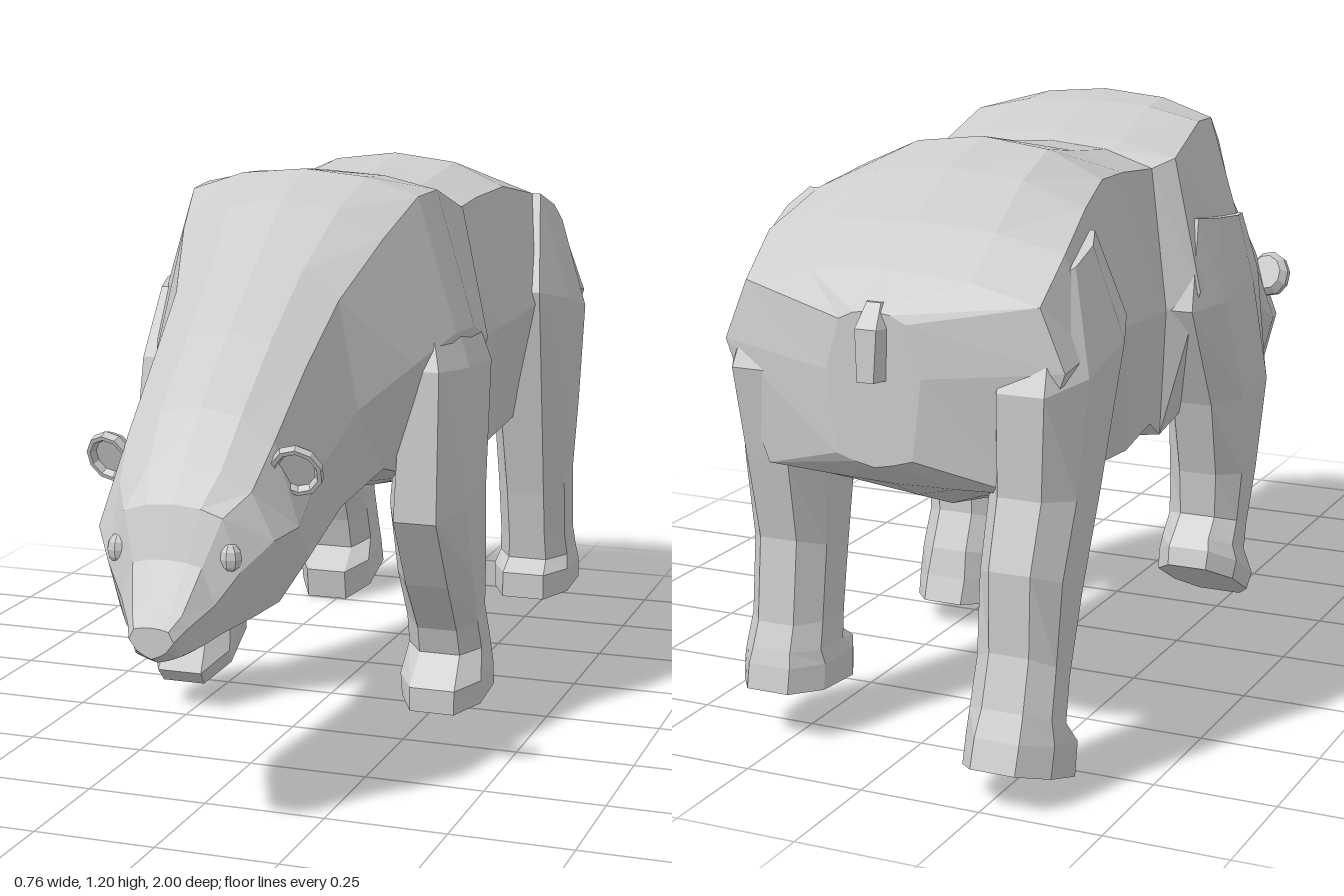
import * as THREE from 'three';

const grey = new THREE.MeshStandardMaterial({ color: 0xcccccc, flatShading: true });

// Closed loft through rings of equal length, with fan caps, always facing outwards
function loft(rings) {
  const n = rings[0].length, pos = rings.flat(2), tris = [];
  const centre = ring => [0, 1, 2].map(k => ring.reduce((s, p) => s + p[k], 0) / n);
  for (let r = 0; r < rings.length - 1; r++) {
    for (let i = 0; i < n; i++) {
      const a = r * n + i, b = r * n + (i + 1) % n;
      tris.push([a, b, b + n], [a, b + n, a + n]);
    }
  }
  const last = (rings.length - 1) * n, c = rings.length * n;
  pos.push(...centre(rings[0]), ...centre(rings.at(-1)));
  for (let i = 0; i < n; i++) {
    const j = (i + 1) % n;
    tris.push([c, j, i], [c + 1, last + i, last + j]);
  }
  const v = i => new THREE.Vector3().fromArray(pos, i * 3);
  const volume = tris.reduce((s, [a, b, d]) => s + v(a).dot(v(b).cross(v(d))), 0);
  const geo = new THREE.BufferGeometry();
  geo.setAttribute('position', new THREE.Float32BufferAttribute(pos, 3));
  geo.setIndex(tris.flatMap(([a, b, d]) => (volume < 0 ? [a, d, b] : [a, b, d])));
  geo.computeVertexNormals();
  return geo;
}

// Body section: spine height, back edge (w1, y1), flank (w2, y2), low side (w3, y3), belly
function bodyRing([z, top, w1, y1, w2, y2, w3, y3, belly]) {
  const half = [
    [w1 * 0.55, top - (top - y1) * 0.25], [w1, y1], [w2, y2], [w3, y3],
    [w3 * 0.5, belly + (y3 - belly) * 0.4],
  ];
  return [
    [0, top, z], ...half.map(([x, y]) => [x, y, z]),
    [0, belly, z], ...half.reverse().map(([x, y]) => [-x, y, z]),
  ];
}

// Leg section: front edge (z, y), back edge (z, y), centre x, half width
const octagon = [[1, -0.55], [1, 0.55], [0.4, 1], [-0.5, 1], [-1, 0.5], [-1, -0.5], [-0.5, -1], [0.4, -1]];
function legRing([fz, fy, bz, by, cx, hw]) {
  return octagon.map(([u, s]) => {
    const t = (1 - u) / 2;
    return [cx + s * hw, fy + (by - fy) * t, fz + (bz - fz) * t];
  });
}

// Body sections from nose to tail
const headSections = [
  [1.0, 0.43, 0.035, 0.425, 0.045, 0.405, 0.03, 0.385, 0.37],
  [0.97, 0.455, 0.05, 0.45, 0.06, 0.425, 0.045, 0.37, 0.355],
  [0.92, 0.54, 0.07, 0.53, 0.095, 0.46, 0.07, 0.38, 0.345],
  [0.89, 0.64, 0.1, 0.62, 0.135, 0.52, 0.1, 0.4, 0.35],
  [0.83, 0.71, 0.135, 0.66, 0.18, 0.57, 0.14, 0.42, 0.36],
  [0.75, 0.8, 0.15, 0.74, 0.2, 0.58, 0.16, 0.43, 0.38],
];
const chestSections = [
  [0.6, 0.925, 0.16, 0.86, 0.19, 0.66, 0.165, 0.48, 0.43],
  [0.45, 1.04, 0.175, 0.97, 0.215, 0.75, 0.18, 0.55, 0.5],
  [0.3, 1.15, 0.22, 1.08, 0.285, 0.82, 0.22, 0.6, 0.57],
  [0.17, 1.2, 0.25, 1.15, 0.335, 0.87, 0.25, 0.56, 0.52],
  [0.07, 1.19, 0.26, 1.155, 0.345, 0.87, 0.25, 0.54, 0.49],
  [-0.09, 1.14, 0.27, 1.1, 0.33, 0.82, 0.24, 0.5, 0.47],
  [-0.12, 1.125, 0.23, 1.08, 0.265, 0.78, 0.23, 0.53, 0.465],
];
const rumpSections = [
  [-0.3, 1.15, 0.24, 1.1, 0.29, 0.8, 0.25, 0.52, 0.445],
  [-0.45, 1.18, 0.26, 1.11, 0.315, 0.82, 0.25, 0.53, 0.43],
  [-0.6, 1.14, 0.29, 1.08, 0.345, 0.85, 0.26, 0.55, 0.46],
  [-0.75, 1.06, 0.315, 1.02, 0.37, 0.84, 0.29, 0.56, 0.52],
  [-0.85, 0.985, 0.31, 0.94, 0.36, 0.82, 0.27, 0.58, 0.57],
  [-0.92, 0.92, 0.07, 0.9, 0.1, 0.8, 0.08, 0.64, 0.62],
];

// Legs in a walking pose, from shoulder or hip to sole
const legs = {
  frontLegLeft: [
    [0.18, 0.98, -0.06, 0.98, 0.25, 0.04], [0.26, 0.8, -0.115, 0.78, 0.285, 0.073],
    [0.27, 0.48, -0.055, 0.54, 0.278, 0.085], [0.17, 0.32, -0.045, 0.36, 0.275, 0.085],
    [0.08, 0.2, -0.05, 0.25, 0.272, 0.08], [0.06, 0.14, -0.085, 0.17, 0.272, 0.083],
    [0.12, 0.075, -0.1, 0.11, 0.273, 0.092], [0.12, 0.022, -0.12, 0.055, 0.273, 0.09],
  ],
  frontLegRight: [
    [0.2, 0.94, -0.06, 0.97, -0.29, 0.045], [0.28, 0.8, -0.115, 0.78, -0.285, 0.073],
    [0.33, 0.57, 0.0, 0.55, -0.28, 0.088], [0.25, 0.36, 0.05, 0.38, -0.275, 0.085],
    [0.2, 0.23, 0.06, 0.28, -0.272, 0.08], [0.185, 0.17, 0.02, 0.24, -0.272, 0.083],
    [0.225, 0.09, 0.0, 0.22, -0.275, 0.092], [0.2, 0.06, -0.01, 0.18, -0.275, 0.088],
  ],
  hindLegLeft: [
    [-0.6, 1.08, -0.78, 0.98, 0.285, 0.045], [-0.5, 0.86, -0.875, 0.77, 0.285, 0.095],
    [-0.58, 0.52, -0.84, 0.57, 0.28, 0.09], [-0.62, 0.35, -0.81, 0.41, 0.28, 0.082],
    [-0.64, 0.24, -0.83, 0.24, 0.28, 0.08], [-0.65, 0.18, -0.85, 0.19, 0.28, 0.084],
    [-0.61, 0.15, -0.86, 0.16, 0.28, 0.092], [-0.61, 0.09, -0.87, 0.11, 0.28, 0.092],
  ],
  hindLegRight: [
    [-0.6, 1.04, -0.78, 0.98, -0.285, 0.045], [-0.51, 0.86, -0.885, 0.78, -0.285, 0.097],
    [-0.64, 0.55, -0.88, 0.58, -0.28, 0.09], [-0.72, 0.36, -0.925, 0.45, -0.28, 0.085],
    [-0.79, 0.2, -0.925, 0.29, -0.278, 0.082], [-0.81, 0.125, -0.955, 0.19, -0.278, 0.085],
    [-0.745, 0.075, -0.98, 0.14, -0.278, 0.092], [-0.755, 0.002, -1.0, 0.085, -0.278, 0.092],
  ],
};

export function createModel() {
  const model = new THREE.Group();
  model.name = 'bear';
  const add = (name, geo, x, y, z) => {
    const mesh = new THREE.Mesh(geo, grey);
    mesh.name = name;
    mesh.position.set(x, y, z);
    model.add(mesh);
    return mesh;
  };

  add('body', loft([...headSections, ...chestSections, ...rumpSections].map(bodyRing)), 0, 0, 0);
  for (const [name, sections] of Object.entries(legs)) add(name, loft(sections.map(legRing)), 0, 0, 0);

  // Shallow cupped ears, half sunk into the head, and eyes
  const earProfile = [[0, -0.018], [0.038, -0.018], [0.05, 0], [0.048, 0.016], [0.04, 0.016], [0.034, 0.004], [0, 0.004]]
    .map(([x, y]) => new THREE.Vector2(x, y));
  const earGeo = new THREE.LatheGeometry(earProfile, 10).rotateX(Math.PI / 2);
  const eyeGeo = new THREE.SphereGeometry(0.027, 8, 6);
  for (const [label, side] of [['Left', 1], ['Right', -1]]) {
    const ear = add('ear' + label, earGeo, side * 0.192, 0.69, 0.738);
    ear.rotation.set(0.4, side * 0.2, side * 0.5);
    ear.scale.y = 1.12;
    const eye = add('eye' + label, eyeGeo, side * 0.113, 0.545, 0.886);
    eye.scale.set(0.9, 1.1, 0.8);
  }

  // Nose pad
  const nose = add('nose', new THREE.SphereGeometry(0.04, 6, 4), 0, 0.392, 0.985);
  nose.scale.set(1, 0.45, 0.4);

  // Short hanging tail
  add('tail', loft([
    [0.03, 0.935, -0.86, -0.91], [0.045, 0.89, -0.88, -0.945], [0.035, 0.79, -0.9, -0.95],
  ].map(([w, y, f, b]) => [[-w, y, f], [w, y, f], [w * 0.5, y, b], [-w * 0.5, y, b]])), 0, 0, 0);

  return model;
}
